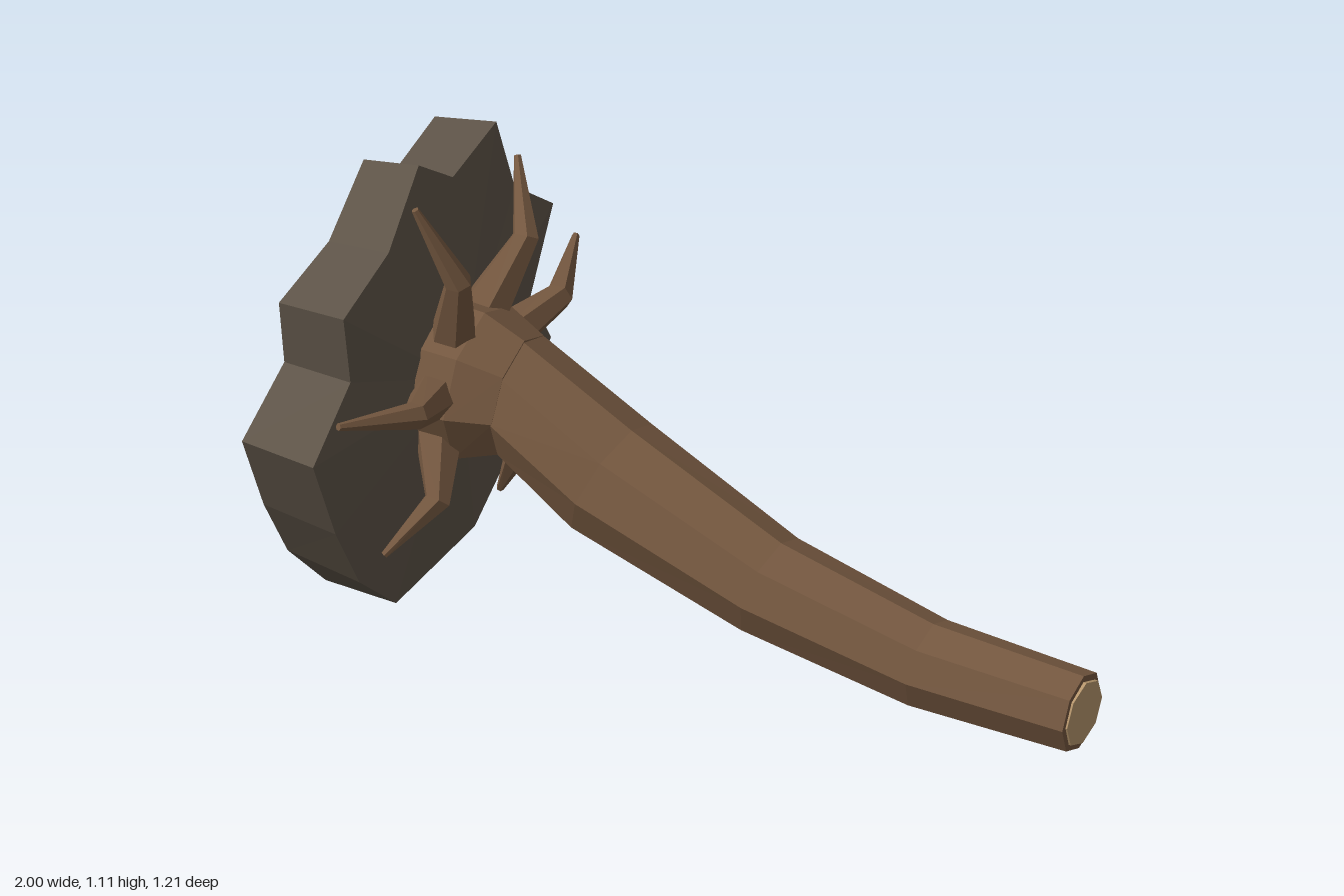
import * as THREE from 'three';

const V = (x, y, z) => new THREE.Vector3(x, y, z);

// Skins a stack of closed vertex rings and fans both ends to centre points
function skin(rings, startCentre, endCentre) {
  const pos = [], n = rings[0].length;
  const tri = (...pts) => pts.forEach((p) => pos.push(p.x, p.y, p.z));
  for (let j = 0; j < n; j++) {
    const k = (j + 1) % n;
    for (let i = 0; i + 1 < rings.length; i++) {
      const a = rings[i], b = rings[i + 1];
      tri(a[j], a[k], b[j]);
      tri(a[k], b[k], b[j]);
    }
    const last = rings[rings.length - 1];
    tri(startCentre, rings[0][k], rings[0][j]);
    tri(endCentre, last[j], last[k]);
  }
  const geo = new THREE.BufferGeometry();
  geo.setAttribute('position', new THREE.Float32BufferAttribute(pos, 3));
  geo.computeVertexNormals();
  return geo;
}

// Tapered faceted limb through stations [x, y, z, radius]
function limb(stations, sides, up, startDir) {
  const c = stations.map((s) => V(s[0], s[1], s[2]));
  const rings = c.map((p, i) => {
    const t = i === 0 && startDir ? startDir.clone()
      : c[Math.min(i + 1, c.length - 1)].clone().sub(c[Math.max(i - 1, 0)]);
    t.normalize();
    const u = up.clone().addScaledVector(t, -up.dot(t)).normalize();
    const v = t.clone().cross(u);
    return Array.from({ length: sides }, (_, j) => {
      const a = (j / sides) * Math.PI * 2, r = stations[i][3];
      return p.clone().addScaledVector(u, r * Math.cos(a)).addScaledVector(v, r * Math.sin(a));
    });
  });
  return skin(rings, c[0], c[c.length - 1]);
}

export function createModel() {
  const group = new THREE.Group();
  const material = (name, color) => {
    const m = new THREE.MeshStandardMaterial({ color, flatShading: true });
    m.name = name;
    return m;
  };
  const bark = material('bark', 0x755840);
  const cutWood = material('cut wood', 0xb8986e);
  const soil = material('soil', 0x5e5448);
  const add = (name, geo, mat) => {
    const mesh = new THREE.Mesh(geo, mat);
    mesh.name = name;
    group.add(mesh);
    return mesh;
  };

  // Torn-up disc of soil: jagged rim as [z, y], flat where it meets the ground
  const rim = [
    [0.045, 1.105], [0.205, 0.95], [0.435, 0.89], [0.41, 0.705],
    [0.605, 0.575], [0.505, 0.34], [0.395, 0.15], [0.22, 0],
    [-0.175, 0], [-0.39, 0.125], [-0.575, 0.305], [-0.48, 0.465],
    [-0.605, 0.655], [-0.42, 0.8], [-0.34, 1.02], [-0.12, 0.985],
  ];
  const back = rim.map(([z, y]) =>
    V(-0.945 - 0.05 * Math.abs(z), y === 0 ? 0 : 0.52 + (y - 0.52) * 0.95, z * 0.955));
  const front = rim.map(([z, y]) => V(-0.78 - 0.03 * (y - 0.5) + 0.025 * z, y, z));
  add('soilDisc', skin([back, front], V(-1, 0.52, 0), V(-0.71, 0.52, 0)), soil);

  // Flared stump base and bending trunk
  const up = V(0, 1, 0);
  add('rootFlare', limb([
    [-0.78, 0.525, 0, 0.2], [-0.65, 0.525, 0, 0.195], [-0.55, 0.518, -0.005, 0.153],
  ], 8, up, V(1, 0, 0)), bark);
  add('trunk', limb([
    [-0.55, 0.518, -0.005, 0.153], [-0.295, 0.38, 0.01, 0.155], [0.155, 0.235, 0.048, 0.128],
    [0.585, 0.148, 0.05, 0.112], [0.99, 0.122, 0.03, 0.101],
  ], 8, up, V(1, 0, 0)), bark);

  // Pale sawn face on the end of the trunk
  const cut = add('cutFace', new THREE.CylinderGeometry(0.084, 0.084, 0.009, 8), cutWood);
  cut.rotation.z = -Math.PI / 2 - 0.06;
  cut.position.set(0.994, 0.122, 0.03);

  // Curling roots: [base z, y], [elbow z, y], [tip z, y]
  const roots = [
    [[0.05, 0.65], [0.125, 0.87], [0.182, 1.075]],
    [[-0.1, 0.66], [-0.2, 0.825], [-0.31, 0.965]],
    [[-0.13, 0.54], [-0.36, 0.575], [-0.59, 0.595]],
    [[-0.09, 0.42], [-0.165, 0.25], [-0.227, 0.09]],
    [[0.12, 0.44], [0.225, 0.32], [0.33, 0.2]],
    [[0.12, 0.55], [0.33, 0.61], [0.55, 0.67]],
  ];
  roots.forEach(([b, e, t], i) => {
    add('root' + (i + 1), limb([
      [-0.7, b[1], b[0], 0.062], [-0.645, e[1], e[0], 0.034], [-0.73, t[1], t[0], 0.009],
    ], 6, V(1, 0, 0)), bark);
  });

  return group;
}
